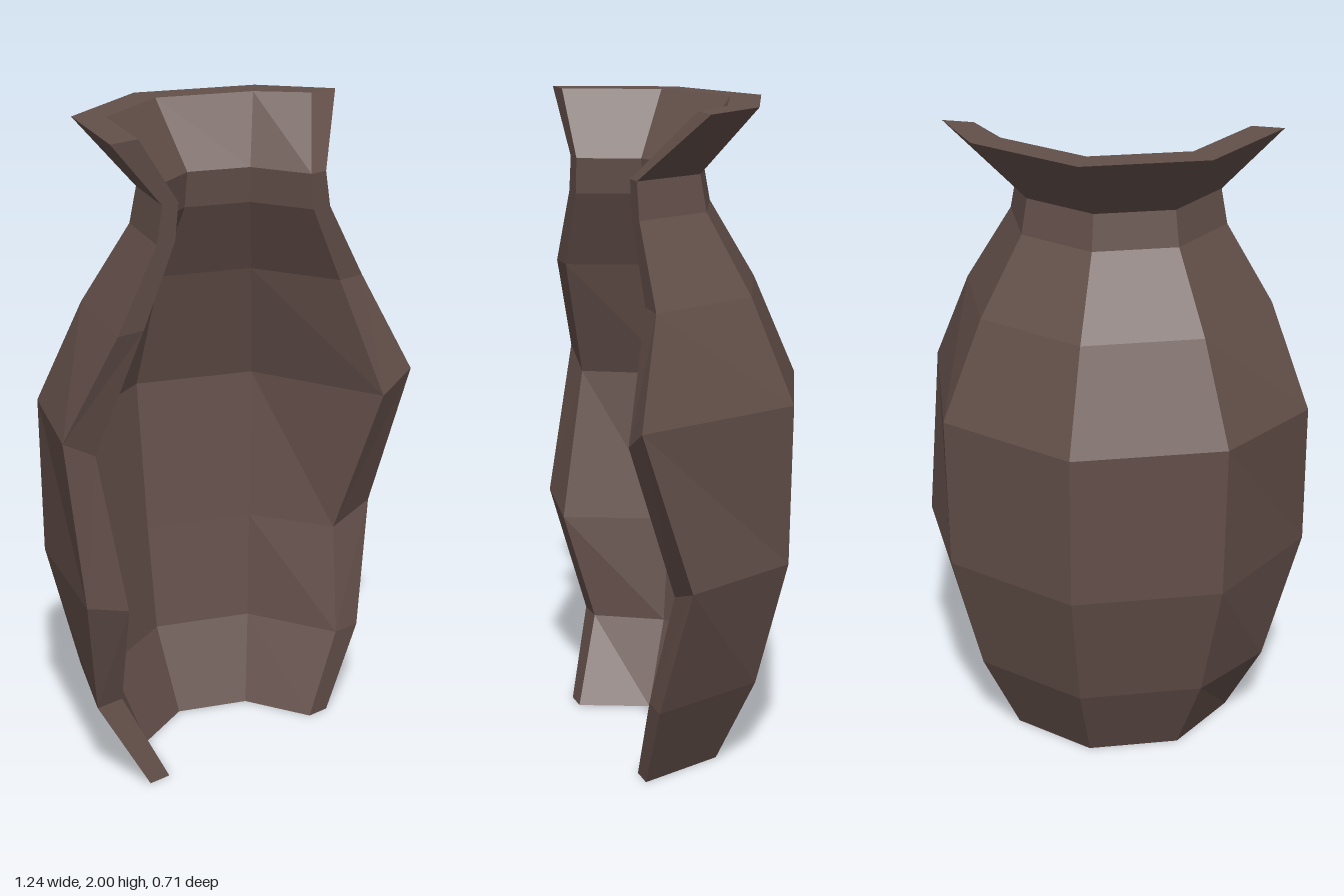
import * as THREE from 'three';

const AXIS_Z = 0.265; // vertical axis of the pot; the shell is its rear half
const STEPS = 4;      // four sides of an octagon

// Profiles from foot to rim: [radius, y]
const outer = [[0.375, 0], [0.505, 0.265], [0.61, 0.655], [0.622, 1.14], [0.485, 1.45], [0.34, 1.69], [0.32, 1.8], [0.505, 2]];
const inner = [[0.3, 0], [0.41, 0.265], [0.453, 0.6], [0.503, 1.075], [0.39, 1.45], [0.272, 1.69], [0.26, 1.8], [0.405, 2]];

// Depth of the jagged broken edge at each level
const rightBreak = [0.265, 0.175, 0.265, 0.18, 0.265, 0.265, 0.265, 0.265];
const leftBreak = [0.265, 0.265, 0.2, 0.355, 0.265, 0.265, 0.265, 0.11];

function point([r, y], level, step) {
  const a = -Math.PI / 2 + (step * Math.PI) / STEPS;
  let z = AXIS_Z - r * Math.cos(a);
  if (step === 0) z = rightBreak[level];
  if (step === STEPS) z = leftBreak[level];
  return [r * Math.sin(a), y, z];
}

function shardGeometry() {
  const positions = [];
  const quad = (a, b, c, d) => positions.push(...a, ...b, ...c, ...a, ...c, ...d);
  const n = outer.length;

  // Closed wall section at every step: up the outside, down the inside
  const sections = [];
  for (let s = 0; s <= STEPS; s++) {
    const up = outer.map((p, i) => point(p, i, s));
    const down = inner.map((p, i) => point(p, i, s)).reverse();
    sections.push([...up, ...down]);
  }

  // Outside, rim, inside and foot
  for (let s = 0; s < STEPS; s++) {
    const A = sections[s], B = sections[s + 1];
    for (let i = 0; i < 2 * n; i++) {
      const j = (i + 1) % (2 * n);
      quad(A[i], A[j], B[j], B[i]);
    }
  }

  // Broken faces at both ends
  const R = sections[0], L = sections[STEPS];
  for (let i = 0; i < n - 1; i++) {
    const k = 2 * n - 1 - i; // matching inside point
    quad(R[i], R[k], R[k - 1], R[i + 1]);
    quad(L[k], L[i], L[i + 1], L[k - 1]);
  }

  const geometry = new THREE.BufferGeometry();
  geometry.setAttribute('position', new THREE.Float32BufferAttribute(positions, 3));
  geometry.computeVertexNormals();
  return geometry;
}

export function createModel() {
  const group = new THREE.Group();
  group.name = 'brokenVase';
  const clay = new THREE.MeshStandardMaterial({ color: 0x634f49, flatShading: true });
  const shard = new THREE.Mesh(shardGeometry(), clay);
  shard.name = 'vaseShard';
  group.add(shard);
  return group;
}
